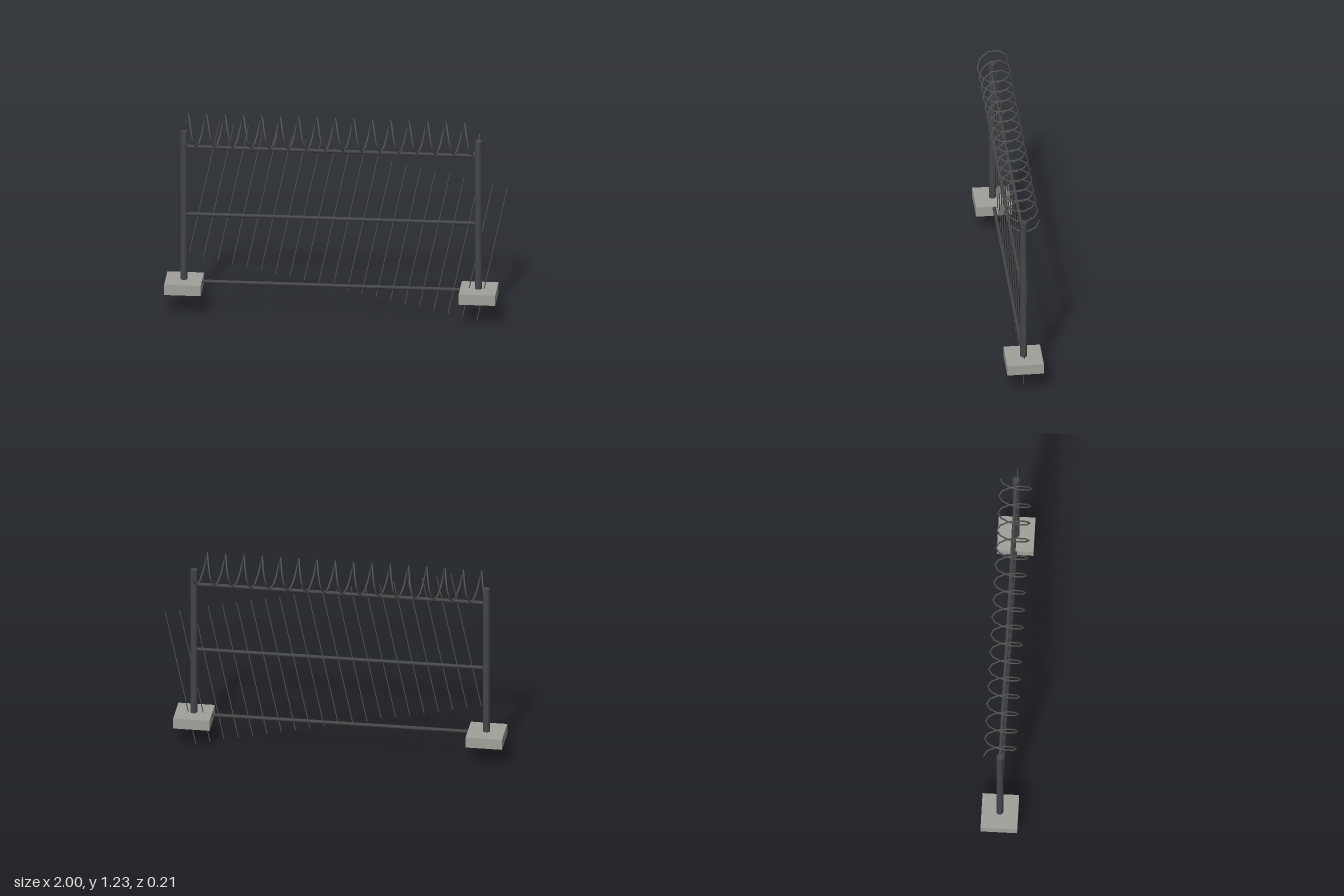
import * as THREE from 'three';

const LEFT_X = 0.829, RIGHT_X = -0.893;
const SPAN = LEFT_X - RIGHT_X, MID_X = (LEFT_X + RIGHT_X) / 2;

// Helix along x, starting at the back and rising
class CoilCurve extends THREE.Curve {
  constructor(turns, radius, centreY) {
    super();
    Object.assign(this, { turns, radius, centreY });
  }
  getPoint(t, target = new THREE.Vector3()) {
    const a = t * this.turns * Math.PI * 2;
    return target.set(RIGHT_X + SPAN * t,
      this.centreY + this.radius * Math.sin(a), -this.radius * Math.cos(a));
  }
}

function makeMaterial(name, color) {
  const m = new THREE.MeshStandardMaterial({ color });
  m.name = name;
  return m;
}

export function createModel() {
  const model = new THREE.Group();
  model.name = 'wireFence';

  const postSteel = makeMaterial('postSteel', 0x46454a);
  const railSteel = makeMaterial('railSteel', 0x464648);
  const wireSteel = makeMaterial('wireSteel', 0x525252);
  const concrete = makeMaterial('concrete', 0xa3a19a);

  function add(name, geometry, material, x = 0, y = 0, rotZ = 0) {
    const mesh = new THREE.Mesh(geometry, material);
    mesh.name = name;
    mesh.position.set(x, y, 0);
    mesh.rotation.z = rotZ;
    model.add(mesh);
  }

  // Posts in concrete footings; the post foot just shows underneath
  const postGeometry = new THREE.CylinderGeometry(0.021, 0.021, 0.988, 12);
  const footingGeometry = new THREE.BoxGeometry(0.214, 0.064, 0.214);
  for (const [side, x] of [['left', LEFT_X], ['right', RIGHT_X]]) {
    add(side + 'Post', postGeometry, postSteel, x, 0.632);
    add(side + 'Footing', footingGeometry, concrete, x, 0.171);
  }

  // Horizontal rails
  const railGeometry = new THREE.CylinderGeometry(0.0105, 0.0105, SPAN, 12);
  [['bottom', 0.191], ['middle', 0.611], ['top', 1.033]].forEach(([level, y]) =>
    add(level + 'Rail', railGeometry, railSteel, MID_X, y, Math.PI / 2));

  // Slanted wires, stepping down from right to left
  const count = 21, runX = 0.179, runY = 0.842;
  const wireGeometry = new THREE.CylinderGeometry(0.003, 0.003, Math.hypot(runX, runY), 12);
  for (let i = 0; i < count; i++) {
    const footX = -0.863 + i * 0.0841, footY = (count - 1 - i) * 0.0181;
    add('slantedWire' + (i + 1), wireGeometry, wireSteel,
      footX + runX / 2, footY + runY / 2, -Math.atan2(runX, runY));
  }

  // Coiled wire along the top: sixteen turns of ten straight segments
  const coil = new CoilCurve(16, 0.094, 1.136);
  add('coiledWire', new THREE.TubeGeometry(coil, 160, 0.0045, 12), wireSteel);

  return model;
}
